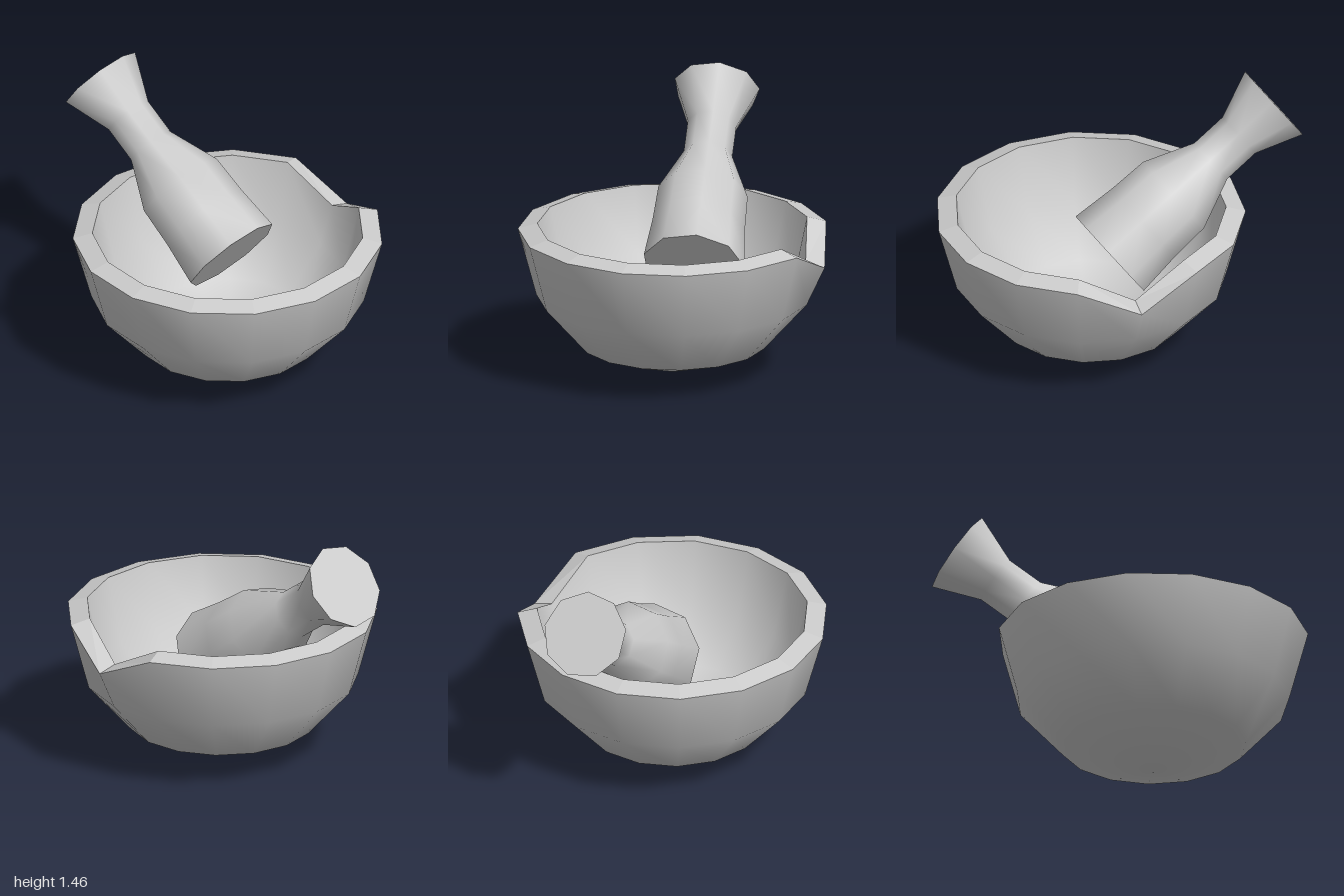
import * as THREE from 'three';
import { mergeVertices } from 'three/addons/utils/BufferGeometryUtils.js';

const material = new THREE.MeshStandardMaterial({ color: 0xcccccc });
const deg = THREE.MathUtils.degToRad;

// Smoothly shaded faceted lathe; 'dip' lowers the rim vertex on the seam to form a spout.
function turned(name, profile, sides, startDeg, { flat = false, dip = 0, rimY = Infinity } = {}) {
  const points = profile.map(([r, y]) => new THREE.Vector2(r, y));
  let geo = new THREE.LatheGeometry(points, sides, deg(startDeg));
  const pos = geo.attributes.position;
  const perColumn = points.length;
  for (let i = 0; i < pos.count; i++) {
    const column = Math.floor(i / perColumn) % sides;
    if (column === 0 && pos.getY(i) >= rimY) pos.setY(i, pos.getY(i) - dip);
  }
  geo.deleteAttribute('uv');
  geo.deleteAttribute('normal');
  geo = mergeVertices(geo, 1e-4);
  if (flat) geo = geo.toNonIndexed();
  geo.computeVertexNormals();
  const mesh = new THREE.Mesh(geo, material);
  mesh.name = name;
  return mesh;
}

export function createModel() {
  const model = new THREE.Group();
  model.name = 'mortarAndPestle';

  // Bowl: fifteen-sided, pointed base, spout on its left side
  const bowl = new THREE.Group();
  bowl.name = 'bowl';
  bowl.position.z = 0.18;
  const spout = { dip: 0.155, rimY: 0.79 };
  const outerRim = [0.835, 0.8];
  const innerRim = [0.73, 0.83];
  bowl.add(
    turned('bowlOutside', [[0, 0], [0.5, 0.165], [0.736, 0.43], outerRim], 15, 84, spout),
    turned('bowlRim', [outerRim, innerRim], 15, 84, { ...spout, flat: true }),
    turned('bowlInside', [innerRim, [0.645, 0.47], [0.435, 0.235], [0, 0.1]], 15, 84, spout),
  );
  model.add(bowl);

  // Pestle: nine-sided, leaning back over the rim
  const pestle = new THREE.Group();
  pestle.name = 'pestle';
  pestle.position.set(0.1, 0.58, 0.11);
  pestle.rotation.x = -0.953;
  const foot = [0.275, 0];
  const top = [0.233, 1.196];
  pestle.add(
    turned('pestleBody', [foot, [0.253, 0.246], [0.245, 0.466], [0.133, 0.736], [0.133, 0.941], top], 9, 88),
    turned('pestleFoot', [[0, 0], foot], 9, 88, { flat: true }),
    turned('pestleTop', [top, [0, 1.196]], 9, 88, { flat: true }),
  );
  model.add(pestle);

  return model;
}
